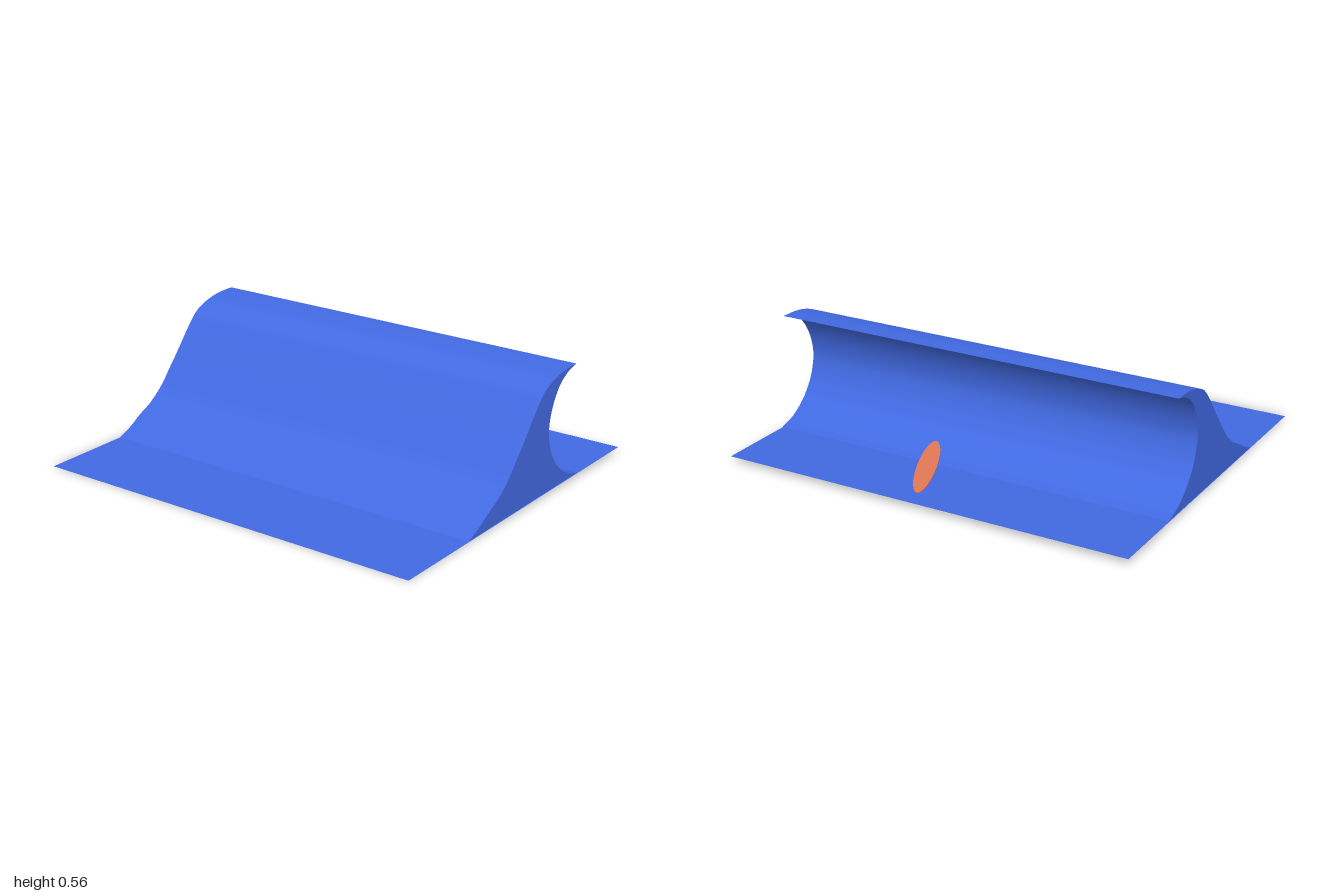
import * as THREE from 'three';
import { toCreasedNormals } from 'three/addons/utils/BufferGeometryUtils.js';

const HALF_X = 0.855;
const waterY = (x) => 0.016 + 0.0175 * x; // gently sloping water level
const skewZ = (x) => 0.006 * x;

function mesh(name, geometry, color, side = THREE.FrontSide) {
  const m = new THREE.Mesh(geometry, new THREE.MeshStandardMaterial({ color, side }));
  m.name = name;
  return m;
}

// Move every vertex by a rule (x, y, z) => [x, y, z]
function warp(geometry, rule) {
  const p = geometry.attributes.position;
  for (let i = 0; i < p.count; i++) p.setXYZ(i, ...rule(p.getX(i), p.getY(i), p.getZ(i)));
  geometry.computeVertexNormals();
  return geometry;
}

const spline = (points, n) =>
  new THREE.SplineCurve(points.map(([x, y]) => new THREE.Vector2(x, y))).getPoints(n);

export function createModel() {
  const model = new THREE.Group();
  model.name = 'surfWave';
  const BLUE = 0x4169e1;

  // Flat sheet of water
  const sheet = new THREE.PlaneGeometry(2 * HALF_X, 1.988).rotateX(-Math.PI / 2);
  warp(sheet, (x, y, z) => [x, waterY(x), z + skewZ(x)]);
  model.add(mesh('waterSheet', sheet, BLUE, THREE.DoubleSide));

  // Breaking wave: swelling back, overhanging lip and hollow face
  const back = spline([
    [-0.42, 0.01], [-0.35, 0.04], [-0.28, 0.083], [-0.2, 0.125], [-0.12, 0.19], [-0.06, 0.26],
    [0, 0.33], [0.06, 0.405], [0.12, 0.475], [0.17, 0.515], [0.25, 0.546], [0.33, 0.56], [0.415, 0.563],
  ], 36);
  const hollow = spline([
    [0.415, 0.563], [0.35, 0.545], [0.28, 0.5], [0.23, 0.425], [0.206, 0.35], [0.204, 0.28],
    [0.235, 0.19], [0.295, 0.113], [0.363, 0.063], [0.41, 0.042], [0.47, 0.027],
  ], 36);
  const profile = new THREE.Shape([...back, ...hollow.slice(1)]);
  const wave = new THREE.ExtrudeGeometry(profile, { depth: 1.986, bevelEnabled: false, steps: 1 });
  wave.translate(0, 0, -0.993);
  warp(wave, (x, y, z) => [x, y + 0.001, z + skewZ(x)]);
  model.add(mesh('wave', toCreasedNormals(wave, 0.6), BLUE));

  // Surfboard: thin oval, turned and tipped nose down, with its fin
  const surfboard = new THREE.Group();
  surfboard.name = 'surfboard';
  const boardY = (x) => 0.0715 - 0.077 * (x - 0.585);
  const turn = 0.379;
  const deck = new THREE.CylinderGeometry(1, 1, 0.004, 48).scale(0.23, 1, 0.045);
  deck.rotateY(turn).translate(0.585, 0, 0.125);
  warp(deck, (x, y, z) => [x, y + boardY(x), z]);
  surfboard.add(mesh('boardDeck', toCreasedNormals(deck, 0.6), 0xe07654));

  // Fin reaches from the water up to the underside of the board
  const fin = new THREE.BoxGeometry(0.106, 1, 0.006).rotateY(turn).translate(0.52, 0.5, 0.148);
  warp(fin, (x, y, z) => [x, y > 0.5 ? boardY(x) - 0.001 : 0.029, z]);
  surfboard.add(mesh('fin', fin, 0x8a7420));
  model.add(surfboard);

  return model;
}
